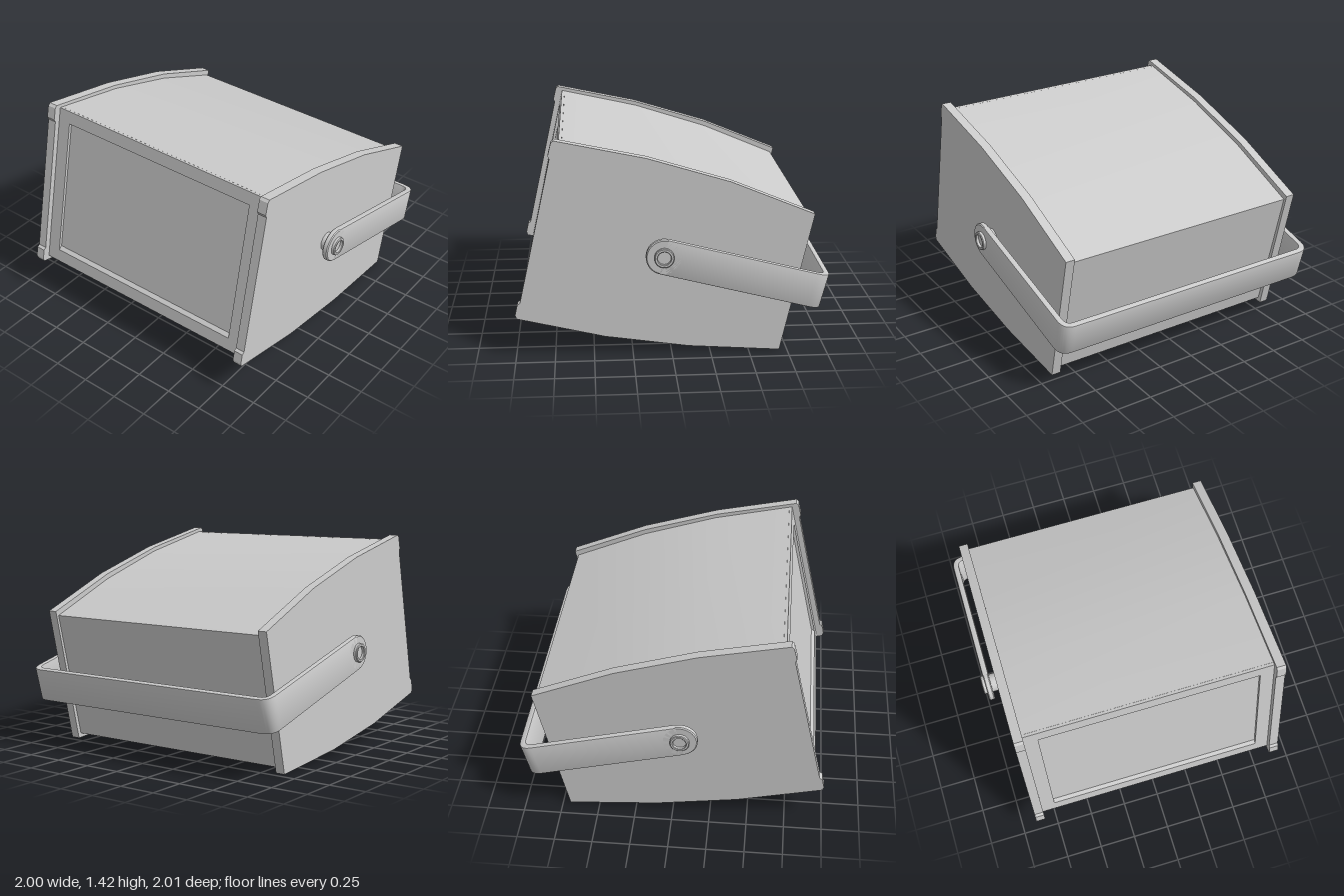
import * as THREE from 'three';
import { toCreasedNormals } from 'three/addons/utils/BufferGeometryUtils.js';

const material = new THREE.MeshStandardMaterial({ color: 0xcccccc });

function addMesh(parent, name, geometry, crease = 0.5) {
  const mesh = new THREE.Mesh(toCreasedNormals(geometry, crease), material);
  mesh.name = name;
  parent.add(mesh);
  return mesh;
}

// Extrudes a side profile of [z, y] points from x0 to x1.
function sideExtrude(points, x0, x1) {
  const shape = new THREE.Shape(points.map(([z, y]) => new THREE.Vector2(-z, y)));
  const geo = new THREE.ExtrudeGeometry(shape, { depth: x1 - x0, bevelEnabled: false });
  return geo.rotateY(Math.PI / 2).translate(x0, 0, 0);
}

function rectangle(target, x, y0, y1) {
  target.moveTo(-x, y0);
  target.lineTo(x, y0);
  target.lineTo(x, y1);
  target.lineTo(-x, y1);
  target.closePath();
  return target;
}

export function createModel() {
  const model = new THREE.Group();
  model.name = 'monitor';

  // Cabinet between the side panels, its front lying on the screen plane
  addMesh(model, 'cabinet', sideExtrude([
    [0.925, 0.276], [0.68, 1.386], [0.15, 1.27], [-0.37, 1.105], [-0.88, 0.89],
    [-0.68, 0.035], [-0.11, 0.078], [0.42, 0.155],
  ], -0.84, 0.84));

  // Side panels with small front lips at top and bottom
  const panel = [
    [0.73, 1.42], [0.746, 1.405], [0.766, 1.325], [0.757, 1.305],
    [0.967, 0.365], [0.985, 0.352], [1.0, 0.285], [0.992, 0.26],
    [0.43, 0.125], [-0.11, 0.045], [-0.70, 0.003],
    [-0.905, 0.92], [-0.37, 1.14], [0.16, 1.30],
  ];
  addMesh(model, 'leftPanel', sideExtrude(panel, 0.832, 0.895));
  addMesh(model, 'rightPanel', sideExtrude(panel, -0.895, -0.832));

  // Tilted bezel around the recessed screen
  const front = new THREE.Group();
  front.name = 'screenFrame';
  front.position.set(0, 0.2757, 0.9255);
  front.rotation.x = -0.217;
  model.add(front);
  const bezel = rectangle(new THREE.Shape(), 0.835, 0, 1.137);
  bezel.holes.push(rectangle(new THREE.Path(), 0.74, 0.087, 1.05));
  addMesh(front, 'bezel', new THREE.ExtrudeGeometry(bezel, { depth: 0.02, bevelEnabled: false }));
  addMesh(front, 'lowerSill', sideExtrude([[0.02, 0.087], [0, 0.087], [0, 0.112]], -0.74, 0.74));
  addMesh(front, 'upperSill', sideExtrude([[0.02, 1.05], [0, 1.05], [0, 1.04]], -0.74, 0.74));

  // U-shaped carrying handle, swung down around the side pivots
  const handle = new THREE.Group();
  handle.name = 'handle';
  handle.position.set(0, 0.68, 0.055);
  handle.rotation.x = -0.25;
  model.add(handle);

  const outer = 0.978, inner = 0.938, back = 1.068, t = outer - inner, r = 0.09, half = 0.115;
  const u = new THREE.Shape();
  u.moveTo(outer, 0);
  u.lineTo(outer, back - r);
  u.quadraticCurveTo(outer, back, outer - r, back);
  u.lineTo(r - outer, back);
  u.quadraticCurveTo(-outer, back, -outer, back - r);
  u.lineTo(-outer, 0);
  u.lineTo(-inner, 0);
  u.lineTo(-inner, back - r);
  u.quadraticCurveTo(-inner, back - t, r - outer, back - t);
  u.lineTo(outer - r, back - t);
  u.quadraticCurveTo(inner, back - t, inner, back - r);
  u.lineTo(inner, 0);
  u.closePath();
  const bevel = 0.007;
  const strap = new THREE.ExtrudeGeometry(u, {
    depth: 2 * (half - bevel), curveSegments: 8, bevelEnabled: true,
    bevelThickness: bevel, bevelSize: bevel, bevelOffset: -bevel, bevelSegments: 2,
  });
  strap.translate(0, 0, bevel - half).rotateX(-Math.PI / 2);
  addMesh(handle, 'strap', strap, 0.7);

  for (const side of [1, -1]) {
    const name = side > 0 ? 'left' : 'right';

    // Rounded end of the strap
    const eye = new THREE.LatheGeometry([
      [0, inner], [half - bevel, inner], [half, inner + bevel],
      [half, outer - bevel], [half - bevel, outer], [0, outer],
    ].map(([a, b]) => new THREE.Vector2(a, b)), 40);
    addMesh(handle, name + 'HandleEnd', eye.rotateZ(-side * Math.PI / 2));

    // Pivot bolt with a recessed centre
    const bolt = new THREE.LatheGeometry([
      [0, 0.88], [0.063, 0.88], [0.063, 0.995], [0.058, 1.0],
      [0.046, 1.0], [0.043, 0.997], [0.043, 0.98], [0, 0.98],
    ].map(([a, b]) => new THREE.Vector2(a, b)), 32);
    addMesh(handle, name + 'Pivot', bolt.rotateZ(-side * Math.PI / 2));
  }
  return model;
}
